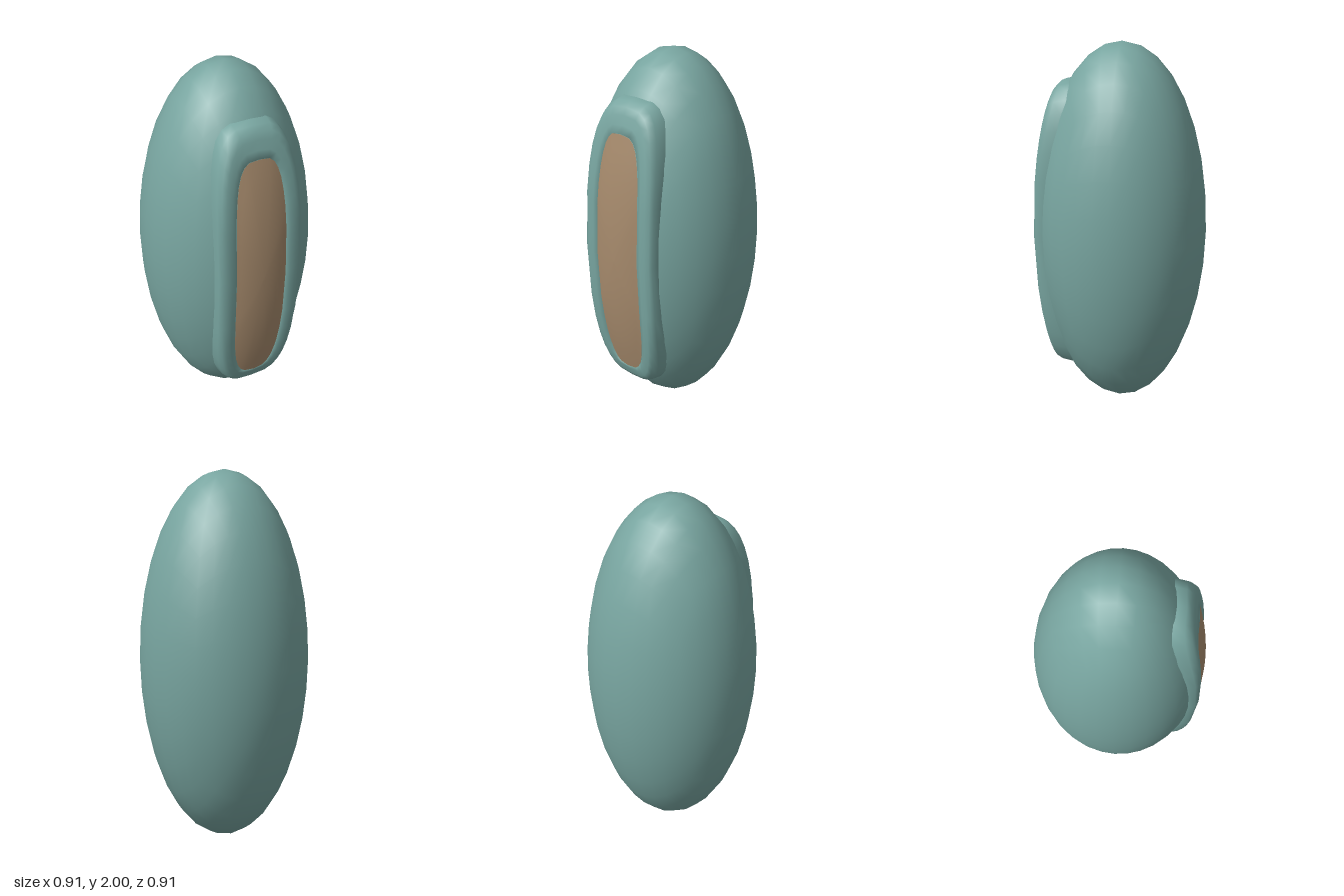
import * as THREE from 'three';
import { mergeVertices } from 'three/addons/utils/BufferGeometryUtils.js';

const R = 0.453; // body half width and depth, half height is 1
const SEGMENTS = 32;

// Heights (z) of the body, the rim crest and the inset panel
const bodyZ = (x, y) => R * Math.sqrt(Math.max(0, 1 - (x / R) ** 2 - (y - 1) ** 2));
const crestZ = (x, y) => 0.44 * Math.sqrt(1 - ((y - 1) / 1.25) ** 2);
const panelZ = (x, y) => 0.458 * Math.sqrt(1 - (x / 0.45) ** 2 - ((y - 1) / 1.2) ** 2);

// Point on a rounded slot outline
function slot(angle, halfWidth, halfHeight, centreY) {
  const bend = (v) => Math.sign(v) * Math.abs(v) ** (2 / 3.5);
  return [halfWidth * bend(Math.cos(angle)), centreY + halfHeight * bend(Math.sin(angle))];
}
const outer = (a) => slot(a, 0.24, 0.8, 1);
const inner = (a) => slot(a, 0.14, 0.67, 0.97);

// Skin over closed loops, listed from the outside inwards
function skin(rows, point) {
  const positions = [], index = [];
  for (let j = 0; j < rows; j++) {
    for (let i = 0; i < SEGMENTS; i++) {
      positions.push(...point(j, (i / SEGMENTS) * Math.PI * 2));
      if (j === rows - 1) continue;
      const a = j * SEGMENTS + i, b = j * SEGMENTS + ((i + 1) % SEGMENTS);
      index.push(a, b, b + SEGMENTS, a, b + SEGMENTS, a + SEGMENTS);
    }
  }
  const g = new THREE.BufferGeometry();
  g.setAttribute('position', new THREE.Float32BufferAttribute(positions, 3));
  g.setIndex(index);
  g.computeVertexNormals();
  return g;
}

// Evenly divided cube blown up to a tall ellipsoid
function bodyGeometry() {
  let g = new THREE.BoxGeometry(2, 2, 2, 8, 8, 8);
  g.deleteAttribute('normal');
  g.deleteAttribute('uv');
  g = mergeVertices(g);
  const p = g.attributes.position, v = new THREE.Vector3();
  const spread = (t) => Math.tan((t * Math.PI) / 4);
  for (let i = 0; i < p.count; i++) {
    v.fromBufferAttribute(p, i);
    v.set(spread(v.x), spread(v.y), spread(v.z)).normalize();
    p.setXYZ(i, v.x * R, v.y + 1, v.z * R);
  }
  g.computeVertexNormals();
  return g;
}

// Raised rim: [blend from outer to inner outline, height]
function rimGeometry() {
  const profile = [
    [0, (x, y) => bodyZ(x, y) - 0.03],
    [0, (x, y) => bodyZ(x, y) + 0.005],
    [0.07, (x, y) => (bodyZ(x, y) + crestZ(x, y)) / 2 + 0.006],
    [0.22, (x, y) => crestZ(x, y) - 0.008],
    [0.45, (x, y) => crestZ(x, y)],
    [0.75, (x, y) => crestZ(x, y)],
    [1, (x, y) => panelZ(x, y) - 0.002],
    [1.05, (x, y) => panelZ(x, y) - 0.03],
  ];
  return skin(profile.length, (j, a) => {
    const [t, height] = profile[j];
    const o = outer(a), n = inner(a);
    const x = o[0] + (n[0] - o[0]) * t, y = o[1] + (n[1] - o[1]) * t;
    return [x, y, height(x, y)];
  });
}

// Curved panel inside the rim
function panelGeometry() {
  const rows = 8;
  return skin(rows, (j, a) => {
    const s = 1 - j / (rows - 1);
    const [x, y] = inner(a);
    const px = x * s, py = 0.97 + (y - 0.97) * s;
    return [px, py, panelZ(px, py)];
  });
}

export function createModel() {
  const group = new THREE.Group();
  const shell = new THREE.MeshStandardMaterial({ color: 0x78a5a0 });
  const tan = new THREE.MeshStandardMaterial({ color: 0xa68a6c });
  const add = (name, geometry, material) => {
    const mesh = new THREE.Mesh(geometry, material);
    mesh.name = name;
    group.add(mesh);
  };
  add('body', bodyGeometry(), shell);
  add('rim', rimGeometry(), shell);
  add('panel', panelGeometry(), tan);
  return group;
}
